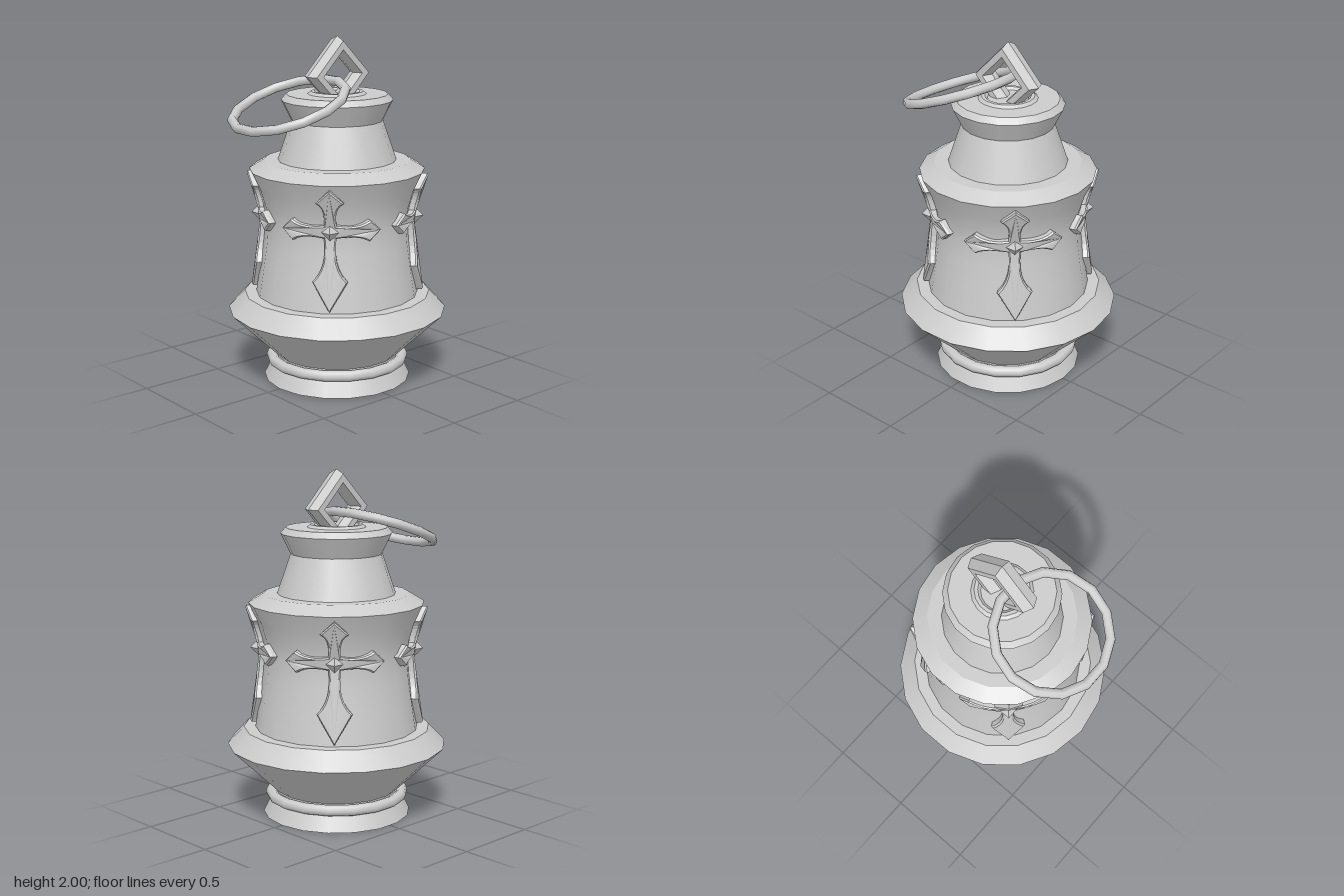
import * as THREE from 'three';

const SIDES = 18;
const material = new THREE.MeshStandardMaterial({ color: 0xcccccc });
const flatMaterial = new THREE.MeshStandardMaterial({ color: 0xcccccc, flatShading: true });

// Waisted wall of the body as [radius, height]
const WALL = [[0.473, 0.515], [0.447, 0.68], [0.425, 0.83], [0.415, 0.95], [0.428, 1.04], [0.457, 1.14], [0.505, 1.245]];

function wallRadius(y) {
  for (let i = 1; i < WALL.length; i++) {
    const [r0, y0] = WALL[i - 1], [r1, y1] = WALL[i];
    if (y <= y1) return r0 + (r1 - r0) * (y - y0) / (y1 - y0);
  }
  return WALL[WALL.length - 1][0];
}

function add(parent, name, geometry, mat = material) {
  const mesh = new THREE.Mesh(geometry, mat);
  mesh.name = name;
  parent.add(mesh);
  return mesh;
}

function lathe(points) {
  return new THREE.LatheGeometry(points.map(([r, y]) => new THREE.Vector2(r, y)), SIDES, Math.PI / 2);
}

// One lathe per band: smooth around, sharp between bands
function banded(parent, name, points) {
  const group = new THREE.Group();
  group.name = name;
  for (let i = 1; i < points.length; i++) add(group, name + 'Band', lathe([points[i - 1], points[i]]));
  parent.add(group);
}

// Flared cross, drawn flat and then wrapped onto the wall
function crossGeometry(centreY) {
  const s = new THREE.Shape();
  s.moveTo(0, 0.235);
  s.lineTo(-0.06, 0.17);
  s.quadraticCurveTo(-0.012, 0.14, -0.026, 0.03);
  s.quadraticCurveTo(-0.15, 0.008, -0.215, 0.052);
  s.lineTo(-0.275, 0);
  s.lineTo(-0.215, -0.052);
  s.quadraticCurveTo(-0.15, -0.008, -0.026, -0.03);
  s.quadraticCurveTo(-0.005, -0.2, -0.082, -0.28);
  s.lineTo(0, -0.435);
  s.lineTo(0.082, -0.28);
  s.quadraticCurveTo(0.005, -0.2, 0.026, -0.03);
  s.quadraticCurveTo(0.15, -0.008, 0.215, -0.052);
  s.lineTo(0.275, 0);
  s.lineTo(0.215, 0.052);
  s.quadraticCurveTo(0.15, 0.008, 0.026, 0.03);
  s.quadraticCurveTo(0.012, 0.14, 0.06, 0.17);
  s.closePath();
  const g = new THREE.ExtrudeGeometry(s, {
    depth: 0.035, curveSegments: 6, bevelEnabled: true,
    bevelThickness: 0.01, bevelSize: 0.008, bevelSegments: 1,
  });
  const p = g.attributes.position;
  for (let i = 0; i < p.count; i++) {
    const y = centreY + p.getY(i);
    const r = wallRadius(y) + p.getZ(i) - 0.01;
    const angle = p.getX(i) / 0.43;
    p.setXYZ(i, r * Math.sin(angle), y, r * Math.cos(angle));
  }
  g.computeVertexNormals();
  return g;
}

export function createModel() {
  const model = new THREE.Group();
  model.name = 'lantern';
  const body = new THREE.Group();
  body.name = 'body';
  body.position.x = 0.015;
  model.add(body);

  // Foot, skirt, wall, shoulder, neck and cap
  banded(body, 'foot', [[0, 0], [0.43, 0], [0.38, 0.1], [0.36, 0.148]]);
  const band = add(body, 'footRing', new THREE.TorusGeometry(0.385, 0.033, 8, SIDES));
  band.rotation.x = Math.PI / 2;
  band.position.y = 0.117;
  banded(body, 'skirt', [[0.36, 0.148], [0.635, 0.415], [0.54, 0.515], [0.473, 0.515]]);
  add(body, 'wall', lathe(WALL));
  banded(body, 'shoulder', [[0.505, 1.245], [0.42, 1.297], [0.34, 1.297]]);
  banded(body, 'neck', [[0.34, 1.297], [0.262, 1.525]]);
  banded(body, 'cap', [[0.262, 1.525], [0.32, 1.642], [0.29, 1.675], [0, 1.675]]);
  banded(body, 'capCollar', [[0.168, 1.675], [0.15, 1.69], [0.13, 1.69], [0.115, 1.676]]);

  // Four crosses with studs on the diagonals
  const crossY = 0.975;
  const crossShape = crossGeometry(crossY);
  for (let i = 0; i < 4; i++) {
    const ornament = new THREE.Group();
    ornament.name = 'crossOrnament';
    ornament.rotation.y = Math.PI / 4 + i * Math.PI / 2;
    add(ornament, 'cross', crossShape, flatMaterial);
    const stud = add(ornament, 'stud', new THREE.OctahedronGeometry(0.055), flatMaterial);
    stud.position.set(0, crossY, wallRadius(crossY) + 0.025);
    body.add(ornament);
  }

  // Diamond shackle, its lower half sunk into the cap
  const shackle = add(body, 'shackle', new THREE.TorusGeometry(0.167, 0.05, 6, 4), flatMaterial);
  shackle.scale.z = 1.27;
  shackle.position.y = 1.784;

  // Loose carrying ring hanging to one side
  const ringGeometry = new THREE.TorusGeometry(0.325, 0.028, 8, 14);
  ringGeometry.rotateZ(Math.PI / 14);
  ringGeometry.rotateX(Math.PI / 2);
  const ring = add(model, 'carryingRing', ringGeometry);
  ring.rotation.z = 0.35;
  ring.position.set(-0.333, 1.646, 0);

  return model;
}
